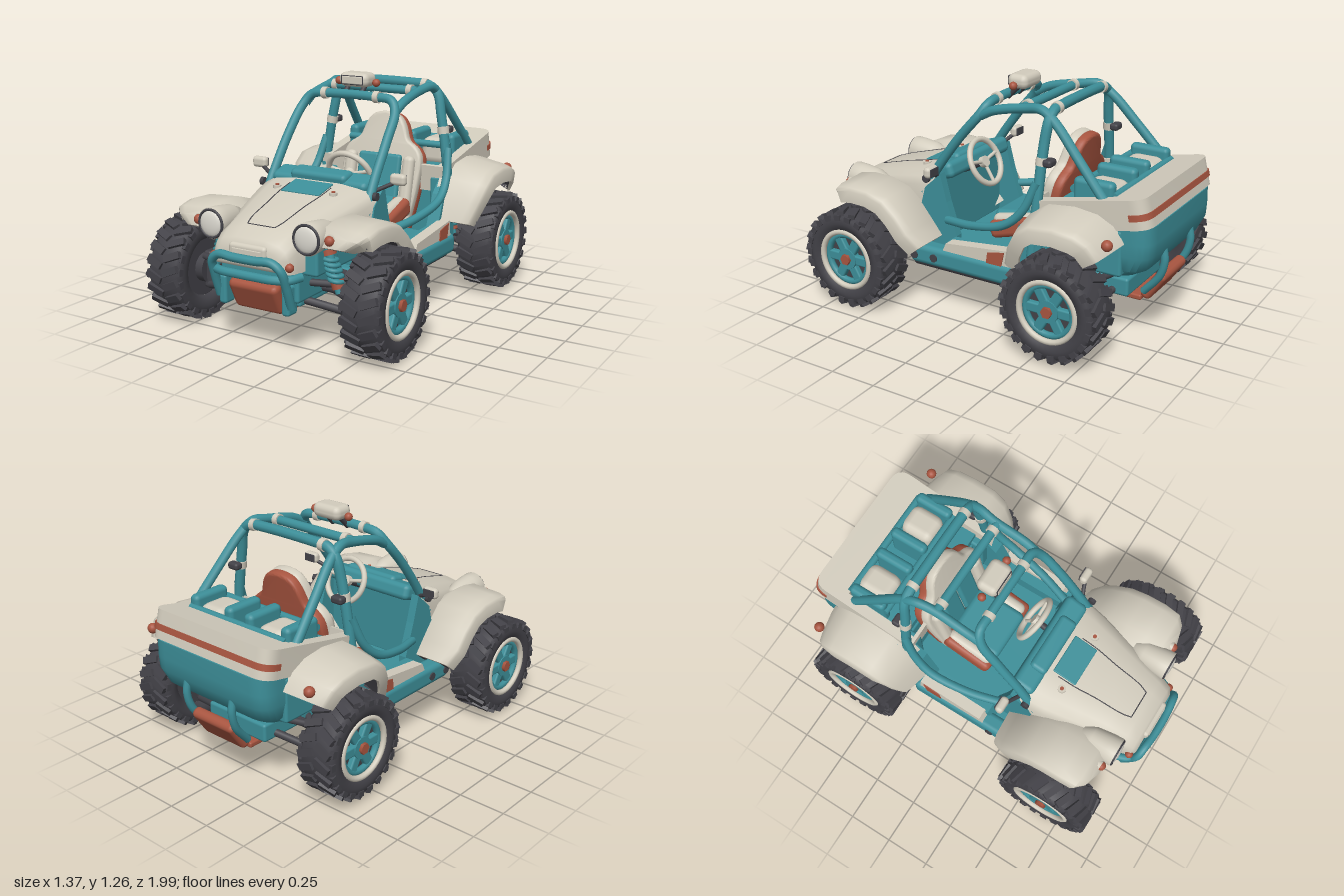
import * as THREE from 'three';
import { mergeGeometries, toCreasedNormals } from 'three/addons/utils/BufferGeometryUtils.js';
import { RoundedBoxGeometry } from 'three/addons/geometries/RoundedBoxGeometry.js';

const paint = (name, color) => Object.assign(new THREE.MeshStandardMaterial({ color }), { name });
const teal = paint('teal', 0x3d8f99), cream = paint('cream', 0xd2ccbd), rust = paint('rust', 0xa85540);
const dark = paint('charcoal', 0x434248), lens = paint('lens', 0xdcd9d0);

// ---- geometry helpers ----
const at = (g, x = 0, y = 0, z = 0, rx = 0, ry = 0, rz = 0) =>
  g.applyMatrix4(new THREE.Matrix4().makeRotationFromEuler(new THREE.Euler(rx, ry, rz)).setPosition(x, y, z));
const box = (w, h, d, r = 0.015) => new RoundedBoxGeometry(w, h, d, 2, Math.min(r, w / 2.1, h / 2.1, d / 2.1));
const cyl = (r, h, n = 20) => new THREE.CylinderGeometry(r, r, h, n);
const ball = r => new THREE.SphereGeometry(r, 14, 10);
const V = p => new THREE.Vector3(...p), V2 = p => new THREE.Vector2(...p);
const tube = (pts, r, n = pts.length * 8) =>
  new THREE.TubeGeometry(new THREE.CatmullRomCurve3(pts.map(V), false, 'centripetal'), n, r, 10);
function rod(a, b, r, n = 12) {
  const A = V(a), d = V(b).sub(A), g = cyl(r, d.length(), n);
  g.applyQuaternion(new THREE.Quaternion().setFromUnitVectors(new THREE.Vector3(0, 1, 0), d.clone().normalize()));
  return g.translate(...A.addScaledVector(d, 0.5).toArray());
}
// Solid skinned over closed cross-sections, turned outward by its signed volume
function loft(rows, crease = 0.7) {
  const n = rows[0].length, pos = rows.flat(2), idx = [], last = (rows.length - 1) * n;
  for (let i = 0; i < last; i += n) for (let j = 0; j < n; j++) {
    const a = i + j, b = i + (j + 1) % n;
    idx.push(a, b, a + n, b, b + n, a + n);
  }
  for (const start of [0, last]) {
    const c = pos.length / 3;
    for (let k = 0; k < 3; k++) pos.push(rows[start / n].reduce((s, p) => s + p[k], 0) / n);
    for (let j = 0; j < n; j++) {
      const a = start + j, b = start + (j + 1) % n;
      idx.push(...(start ? [c, a, b] : [c, b, a]));
    }
  }
  const P = i => new THREE.Vector3().fromArray(pos, i * 3);
  let vol = 0;
  for (let i = 0; i < idx.length; i += 3) vol += P(idx[i]).dot(P(idx[i + 1]).cross(P(idx[i + 2])));
  if (vol < 0) idx.reverse();
  const g = new THREE.BufferGeometry();
  g.setAttribute('position', new THREE.Float32BufferAttribute(pos, 3));
  g.setIndex(idx);
  return toCreasedNormals(g, crease);
}
// Side profile of [z, y] points, extruded across x from x0 to x1
const slab = (pts, x0, x1) => new THREE.ExtrudeGeometry(new THREE.Shape(pts.map(p => V2([-p[0], p[1]]))),
  { depth: x1 - x0, bevelEnabled: false }).rotateY(Math.PI / 2).translate(x0, 0, 0);
function mirrored(geo) {
  const g = geo.index ? geo.toNonIndexed() : geo.clone();
  for (const a of [g.attributes.position, g.attributes.normal]) {
    for (let i = 0; i < a.count; i += 3) {
      const t = [a.getX(i + 1), a.getY(i + 1), a.getZ(i + 1)];
      a.setXYZ(i + 1, a.getX(i + 2), a.getY(i + 2), a.getZ(i + 2));
      a.setXYZ(i + 2, ...t);
    }
    for (let i = 0; i < a.count; i++) a.setX(i, -a.getX(i));
  }
  return g;
}
// Plan outline of the rear body with two rounded corners
const rimPlan = (hw, z0, z1, r) => new THREE.Shape().moveTo(-hw, z0).lineTo(hw, z0).lineTo(hw, z1 - r).quadraticCurveTo(hw, z1, hw - r, z1)
  .lineTo(r - hw, z1).quadraticCurveTo(-hw, z1, -hw, z1 - r).lineTo(-hw, z0);

export function createModel() {
  const root = new THREE.Group();
  root.name = 'buggy';
  const add = (name, geo, mat, parent = root) => {
    const m = new THREE.Mesh(geo, mat);
    m.name = name;
    parent.add(m);
  };
  const pair = (name, geo, mat) => { add(name + 'Left', geo, mat); add(name + 'Right', mirrored(geo), mat); };

  // ---- hood and nose ----
  const hood = [[0.29, 0.345, 0.745, 0.5], [0.43, 0.325, 0.715, 0.46], [0.6, 0.285, 0.675, 0.44], [0.75, 0.25, 0.635, 0.42],
    [0.86, 0.23, 0.6, 0.41], [0.92, 0.215, 0.565, 0.42], [0.94, 0.19, 0.53, 0.44]];
  add('hood', loft(hood.map(([z, w, t, b]) => [[-w, b], [-w, t - 0.08], [-w * 0.93, t - 0.04], [-w * 0.75, t - 0.015], [-w * 0.4, t],
    [w * 0.4, t], [w * 0.75, t - 0.015], [w * 0.93, t - 0.04], [w, t - 0.08], [w, b]].map(p => [...p, z])), 0.9), cream);
  const hoodY = z => {
    const i = hood.findIndex(h => h[0] >= z), [a, b] = [hood[i - 1], hood[i]];
    return a[2] + (b[2] - a[2]) * (z - a[0]) / (b[0] - a[0]);
  };
  const seam = [[0.125, 0.4], [0.122, 0.5], [0.108, 0.62], [0.095, 0.78], [0.08, 0.83]];
  pair('hoodSeam', tube(seam.map(([x, z]) => [x, hoodY(z), z]), 0.003), dark);
  add('hoodSeamEnd', rod([-0.08, hoodY(0.83), 0.83], [0.08, hoodY(0.83), 0.83], 0.003, 8), dark);
  add('hoodVent', at(box(0.23, 0.014, 0.14, 0.005), 0, hoodY(0.43), 0.43, 0.23), teal);
  pair('hoodLatch', at(cyl(0.022, 0.03), 0.17, 0.7, 0.45), cream);
  pair('hoodLatchPin', at(cyl(0.01, 0.035), 0.17, 0.703, 0.45), rust);
  add('grilleFrame', at(box(0.22, 0.07, 0.05, 0.02), 0, 0.51, 0.93), cream);
  add('grilleSlot', at(box(0.17, 0.028, 0.01, 0.004), 0, 0.507, 0.953), cream);

  // ---- fenders: a flared sheet swept along each wheel arch, with a dark liner ----
  const sweep = (path, profile) => loft(path.map(([z, y, xo], i) => {
    const a = path[Math.max(0, i - 1)], b = path[Math.min(path.length - 1, i + 1)];
    const dz = b[0] - a[0], dy = b[1] - a[1], l = Math.hypot(dz, dy);
    return profile(xo).map(([x, n]) => [x, y - dz / l * n, z + dy / l * n]);
  }), 0.95);
  const fender = (name, path, dir, xi, inner) => {
    const mid = xo => xi + (xo - xi) * 0.3, m = inner > 0 ? 0.012 : -0.005;
    const out = profile => xo => profile(xo).map(([x, n]) => [x, n * dir]);
    pair(name, sweep(path, out(xo => [[xi, inner], [mid(xo), m], [xo - 0.05, -0.015], [xo - 0.01, -0.028], [xo, -0.045], [xo, -0.11],
      [xo - 0.015, -0.11], [xo - 0.02, -0.05], [mid(xo), m - 0.02], [xi, inner - 0.03]])), cream);
    pair(name + 'Liner', sweep(path, out(xo => [[xi, inner - 0.025], [mid(xo), m - 0.018], [xo - 0.022, -0.048], [xo - 0.014, -0.1],
      [xo - 0.024, -0.1], [xo - 0.03, -0.065], [mid(xo), m - 0.04], [xi, inner - 0.05]])), dark);
  };
  fender('frontFender', [[0.85, 0.56, 0.47], [0.83, 0.61, 0.53], [0.78, 0.645, 0.565], [0.68, 0.665, 0.57], [0.56, 0.66, 0.57],
    [0.45, 0.625, 0.57], [0.36, 0.55, 0.57], [0.29, 0.465, 0.57], [0.23, 0.39, 0.54]], 1, 0.24, -0.07);
  fender('rearFender', [[-0.27, 0.44, 0.57], [-0.31, 0.55, 0.61], [-0.37, 0.65, 0.635], [-0.46, 0.71, 0.64], [-0.6, 0.725, 0.64],
    [-0.72, 0.71, 0.64], [-0.8, 0.67, 0.635], [-0.85, 0.59, 0.61]], 1, 0.36, 0.02);
  pair('frontWheelWell', at(box(0.13, 0.2, 0.46), 0.24, 0.49, 0.58), teal);
  pair('rearWheelWell', at(box(0.1, 0.24, 0.5), 0.35, 0.54, -0.6), teal);

  // ---- lamps ----
  pair('headlightPod', at(new THREE.LatheGeometry([[0, -0.22], [0.04, -0.21], [0.065, -0.15], [0.077, -0.06], [0.081, 0], [0.064, 0.006], [0, 0.006]]
    .map(V2), 28), 0.28, 0.588, 0.86, Math.PI / 2), cream);
  pair('headlightRing', at(new THREE.TorusGeometry(0.07, 0.007, 10, 32), 0.28, 0.588, 0.864), dark);
  pair('headlightLens', at(ball(0.066).scale(1, 1, 0.25), 0.28, 0.588, 0.863), lens);
  for (const [x, y, z, r] of [[0.385, 0.588, 0.825, 0.026], [0.22, 0.455, 0.915, 0.022], [0.55, 0.645, -0.85, 0.028], [0.21, 0.71, 0.33, 0.014], [0.115, 1.2, -0.07, 0.022]])
    pair('markerLamp', at(ball(r), x, y, z), rust);
  pair('markerLampHousing', rod([0.38, 0.588, 0.76], [0.385, 0.588, 0.826], 0.029), cream);

  // ---- bumper, skid plate and chassis ----
  const sym = h => [...h, ...h.map(([x, y, z]) => [-x, y, z]).reverse()];
  add('bumperHoop', tube(sym([[0.21, 0.25, 0.89], [0.21, 0.36, 0.93], [0.2, 0.445, 0.96], [0.155, 0.48, 0.968], [0.06, 0.48, 0.977]]), 0.022), teal);
  add('bumperBar', tube(sym([[0.25, 0.4, 0.86], [0.22, 0.395, 0.92], [0.15, 0.395, 0.955], [0.05, 0.395, 0.96]]), 0.022), teal);
  pair('bumperPlate', at(box(0.045, 0.15, 0.08), 0.185, 0.28, 0.87), teal);
  add('frontChassis', at(box(0.46, 0.16, 0.4), 0, 0.34, 0.66), teal);
  add('skidPlate', at(box(0.3, 0.03, 1.68, 0.01), 0, 0.21, -0.01), rust);
  add('frontSkidGuard', at(box(0.29, 0.17, 0.07, 0.03), 0, 0.272, 0.865, 0.45), rust);
  add('rearSkidGuard', at(box(0.29, 0.18, 0.06, 0.025), 0, 0.285, -0.905, -0.6), rust);
  add('chassisSpine', at(box(0.4, 0.1, 1.6), 0, 0.27, 0), teal);
  pair('rearGuard', tube([[0.16, 0.52, -0.965], [0.16, 0.45, -0.975], [0.155, 0.36, -0.95], [0.14, 0.25, -0.86]], 0.02), teal);
  for (const [x, y] of [[0.26, 0.235], [0.33, 0.235], [0.4, 0.245]]) pair('sidePipe', rod([x, y, 0.36], [x, y, -0.33], 0.03), dark);

  // ---- cabin tub ----
  add('floor', at(box(0.84, 0.06, 0.84), 0, 0.29, 0), teal);
  add('firewall', at(box(0.62, 0.38, 0.08), 0, 0.5, 0.32), teal);
  add('rearBulkhead', at(box(0.74, 0.36, 0.06), 0, 0.46, -0.44), teal);
  pair('cabinSideFront', slab([[0.43, 0.26], [0.4, 0.42], [0.34, 0.64], [0.24, 0.73], [0.2, 0.58], [0.14, 0.4], [0.14, 0.26]], 0.3, 0.345), teal);
  pair('cabinSideRear', slab([[0.2, 0.26], [0.14, 0.4], [-0.22, 0.41], [-0.29, 0.58], [-0.42, 0.7], [-0.42, 0.26]], 0.35, 0.42), teal);
  pair('sill', at(box(0.1, 0.11, 0.66, 0.03), 0.438, 0.315, 0.02), teal);
  pair('sillPanel', slab([[0.15, 0.345], [0.12, 0.41], [-0.26, 0.45], [-0.27, 0.36]], 0.41, 0.474), cream);
  pair('sillBadgePlate', slab([[-0.13, 0.35], [-0.14, 0.42], [-0.24, 0.44], [-0.22, 0.35]], 0.47, 0.479), rust);
  for (const [y, z, x] of [[0.31, 0.315, 0.485], [0.315, 0.19, 0.485], [0.69, 0.33, 0.345]])
    pair('bodyBolt', at(cyl(0.022, 0.02, 12), x, y, z, 0, 0, Math.PI / 2), dark);
  add('dashboard', at(box(0.58, 0.09, 0.13, 0.03), 0, 0.72, 0.27, 0.3), teal);
  add('dashHump', at(box(0.34, 0.07, 0.1, 0.025), 0, 0.75, 0.29, 0.2), teal);

  // ---- steering wheel ----
  const steer = new THREE.Group();
  steer.name = 'steeringWheel';
  steer.position.set(0.075, 0.745, 0.13);
  steer.rotation.x = 0.46;
  root.add(steer);
  add('steeringRim', new THREE.TorusGeometry(0.125, 0.016, 10, 36), cream, steer);
  add('steeringHub', at(cyl(0.03, 0.03), 0, 0, 0.01, Math.PI / 2), cream, steer);
  add('steeringColumn', rod([0, 0, 0], [0, 0, 0.16], 0.018), dark, steer);
  for (const a of [0.2, Math.PI - 0.2, -Math.PI / 2])
    add('steeringSpoke', rod([0, 0, 0.01], [0.12 * Math.cos(a), 0.12 * Math.sin(a), 0], 0.01), cream, steer);

  // ---- seat ----
  const seatPart = g => at(g, 0, 0.375, -0.29, -0.22);
  const back = (k, depth, z) => {
    const half = [[0.2, 0], [0.235, 0.2], [0.245, 0.36], [0.215, 0.425], [0.15, 0.47], [0.115, 0.55], [0.08, 0.595], [0.03, 0.612]].map(([x, y]) => V2([x * k, y]));
    const outline = new THREE.SplineCurve([...half, ...half.map(p => V2([-p.x, p.y])).reverse()]).getPoints(60);
    const g = new THREE.ExtrudeGeometry(new THREE.Shape(outline), { depth, bevelSize: 0.015, bevelThickness: 0.015, bevelSegments: 3 });
    return seatPart(toCreasedNormals(g.translate(0, 0, z), 0.6));
  };
  add('seatShell', back(0.94, 0.025, -0.045), rust);
  add('seatBack', back(0.95, 0.025, 0), cream);
  pair('seatBackPad', seatPart(box(0.13, 0.34, 0.04, 0.018).translate(0.07, 0.22, 0.045)), teal);
  pair('seatBolster', seatPart(box(0.07, 0.34, 0.08, 0.03).translate(0.185, 0.22, 0.04)), cream);
  add('seatBase', at(box(0.46, 0.1, 0.3, 0.03), 0, 0.46, -0.13, 0.28), rust);
  add('seatCushion', at(box(0.3, 0.07, 0.3, 0.03), 0, 0.495, -0.12, 0.14), teal);
  pair('cushionBolster', at(box(0.07, 0.08, 0.28, 0.035), 0.17, 0.49, -0.13, 0.2), cream);

  // ---- rear body ----
  const tubRow = ([y, w, zf, zr]) => rimPlan(w, -zf, -zr, 0.1).getPoints(5).slice(0, -1).map(p => [p.x, y, -p.y]);
  add('rearTub', loft([[0.37, 0.28, -0.5, -0.8], [0.4, 0.33, -0.42, -0.88], [0.45, 0.375, -0.42, -0.95], [0.53, 0.393, -0.42, -0.988], [0.6, 0.395, -0.42, -0.992],
    [0.69, 0.395, -0.42, -0.99]].map(tubRow), 0.7), teal);
  // Rim wall and stripe rise towards the rear and lean forward with height
  const band = (shape, depth, lift) => {
    const g = new THREE.ExtrudeGeometry(shape, { depth, bevelEnabled: false, curveSegments: 8 }).rotateX(-Math.PI / 2);
    const p = g.attributes.position;
    for (let i = 0; i < p.count; i++) {
      const h = p.getY(i) + lift, z = p.getZ(i);
      p.setY(i, h + 0.575 + 0.115 * (-z - 0.36) / 0.6);
      p.setZ(i, z * (1 - 0.25 * h));
    }
    return toCreasedNormals(g, 0.7);
  };
  const rim = rimPlan(0.405, 0.36, 0.99, 0.08);
  rim.holes.push(new THREE.Path([[-0.345, 0.38], [-0.345, 0.8], [0.345, 0.8], [0.345, 0.38]].map(V2)));
  add('rearRim', band(rim, 0.145, 0), cream);
  add('rearRimStripe', band(rimPlan(0.41, 0.9, 0.996, 0.08), 0.03, 0.045), rust);
  pair('cargoCanister', at(box(0.17, 0.16, 0.2, 0.05), 0.205, 0.75, -0.67), cream);
  for (const x of [0.07, 0.315]) pair('cargoStrap', at(box(0.06, 0.2, 0.22, 0.025), x, 0.765, -0.66), teal);
  for (const z of [-0.55, -0.77]) add('cargoBar', rod([-0.33, 0.8, z], [0.33, 0.8, z], 0.02), teal);

  // ---- roll cage ----
  add('frontHoop', tube(sym([[0.31, 0.6, 0.37], [0.305, 0.75, 0.28], [0.3, 0.94, 0.14], [0.285, 1.07, 0.03], [0.245, 1.125, 0], [0.15, 1.137, 0]]), 0.025), teal);
  add('rearHoop', tube(sym([[0.41, 0.42, -0.36], [0.39, 0.72, -0.38], [0.345, 1, -0.39], [0.315, 1.12, -0.4], [0.265, 1.16, -0.4], [0.16, 1.168, -0.4]]), 0.027), teal);
  pair('roofRail', tube([[0.28, 1.07, 0.02], [0.285, 1.11, -0.06], [0.285, 1.15, -0.25], [0.3, 1.16, -0.35], [0.31, 1.11, -0.43],
    [0.335, 0.95, -0.58], [0.36, 0.76, -0.75]], 0.025), teal);
  add('roofCrossbar', rod([-0.28, 1.15, -0.23], [0.28, 1.15, -0.23], 0.024), teal);
  pair('doorBar', tube([[0.34, 0.48, 0.2], [0.4, 0.51, 0], [0.43, 0.57, -0.21], [0.42, 0.66, -0.31], [0.395, 0.82, -0.38]], 0.023), teal);
  for (const [a, b] of [[[0.175, 1.136, 0], [0.145, 1.137, 0]], [[0.22, 1.15, -0.23], [0.25, 1.15, -0.23]], [[0.25, 1.162, -0.4], [0.22, 1.165, -0.4]],
    [[0.363, 0.9, -0.387], [0.357, 0.94, -0.389]]]) pair('cageClamp', rod(a, b, 0.032, 16), cream);
  pair('cageBracket', at(box(0.07, 0.04, 0.05), 0.36, 0.92, -0.43), dark);
  add('roofLamp', at(box(0.18, 0.078, 0.12, 0.034), 0, 1.213, -0.07), cream);
  add('roofLampSeam', at(box(0.135, 0.05, 0.006, 0.0025), 0, 1.213, -0.012), dark);
  add('roofLampLens', at(box(0.125, 0.042, 0.012, 0.005), 0, 1.213, -0.012), cream);
  pair('roofLampMount', rod([0.05, 1.12, 0], [0.05, 1.19, -0.07], 0.014), dark);

  // ---- mirrors ----
  pair('mirrorArm', rod([0.3, 0.7, 0.29], [0.42, 0.76, 0.24], 0.011), dark);
  pair('mirrorHousing', at(box(0.09, 0.06, 0.045, 0.02), 0.425, 0.77, 0.24), cream);
  pair('mirrorGlass', at(box(0.07, 0.044, 0.006, 0.002), 0.425, 0.77, 0.217), dark);

  // ---- wheels and suspension ----
  const tireHalf = [[0.155, -0.07], [0.175, -0.095], [0.21, -0.105], [0.245, -0.1], [0.263, -0.08]];
  const wheel = (R, x, y, z) => {
    const k = R / 0.28, treads = [];
    for (let i = 0; i < 22; i++) for (const s of [-1, 1]) {
      const a = (i + (s > 0 ? 0.5 : 0)) / 22 * Math.PI * 2;
      for (const [w, r, off, yaw] of [[0.095, 0.265, 0.05, 0.42], [0.022, 0.245, 0.097, 0]])
        treads.push(at(at(new THREE.BoxGeometry(0.03, w, 0.038), r, s * off, 0, s * yaw), 0, 0, 0, 0, a));
    }
    const parts = [['tire', new THREE.LatheGeometry([...tireHalf, [0.267, 0], ...tireHalf.map(([r, h]) => [r, -h]).reverse()].map(V2), 40), dark],
      ['tireTread', mergeGeometries(treads), dark],
      ['rimRing', at(new THREE.TorusGeometry(0.161, 0.016, 10, 36), 0, 0.088, 0, Math.PI / 2), cream],
      ['rimBarrel', at(cyl(0.157, 0.11, 32), 0, -0.01), dark],
      ['rimCollar', at(new THREE.TorusGeometry(0.136, 0.018, 8, 32), 0, 0.066, 0, Math.PI / 2), teal],
      ['hub', at(cyl(0.06, 0.05, 18), 0, 0.06), teal], ['hubNut', at(cyl(0.031, 0.02, 6), 0, 0.092), rust],
      ['brakeDrum', at(cyl(0.08, 0.06, 20), 0, -0.08), dark]];
    for (let i = 0; i < 6; i++) parts.push(['rimSpoke', at(at(box(0.1, 0.035, 0.055, 0.01), 0.09, 0.062), 0, 0, 0, 0, i * Math.PI / 3 + Math.PI / 6), teal]);
    for (const [name, g, mat] of parts) pair(name, at(g.scale(k, 1, k), x, y, z, 0, 0, -Math.PI / 2), mat);
  };
  wheel(0.273, 0.578, 0.27, 0.638);
  wheel(0.27, 0.578, 0.286, -0.6);
  for (const z of [0.635, -0.6]) {
    pair('axleShaft', rod([0.1, 0.29, z], [0.52, 0.28, z], 0.022), dark);
    for (const d of [-0.12, 0.12]) {
      pair('upperArm', rod([0.2, 0.34, z + d], [0.48, 0.34, z + d * 0.3], 0.018), dark);
      pair('lowerArm', rod([0.18, 0.25, z + d], [0.45, 0.19, z + d * 0.3], 0.02), dark);
    }
    pair('armKnuckle', at(box(0.05, 0.2, 0.08), 0.465, 0.27, z), dark);
    const coil = Array.from({ length: 61 }, (_, i) => [0.355 - i * 0.00075 + 0.033 * Math.cos(i * 0.52), 0.36 + i * 0.0021, z + 0.08 + 0.033 * Math.sin(i * 0.52)]);
    pair('coilSpring', tube(coil, 0.011, 120), teal);
    pair('damper', rod([0.37, 0.3, z + 0.08], [0.305, 0.52, z + 0.08], 0.02), teal);
    pair('damperFoot', rod([0.367, 0.325, z + 0.08], [0.355, 0.365, z + 0.08], 0.034), rust);
    pair('damperCap', rod([0.312, 0.485, z + 0.08], [0.305, 0.51, z + 0.08], 0.038), rust);
  }
  add('rearDifferential', at(ball(0.09), 0, 0.29, -0.6), dark);
  return root;
}
